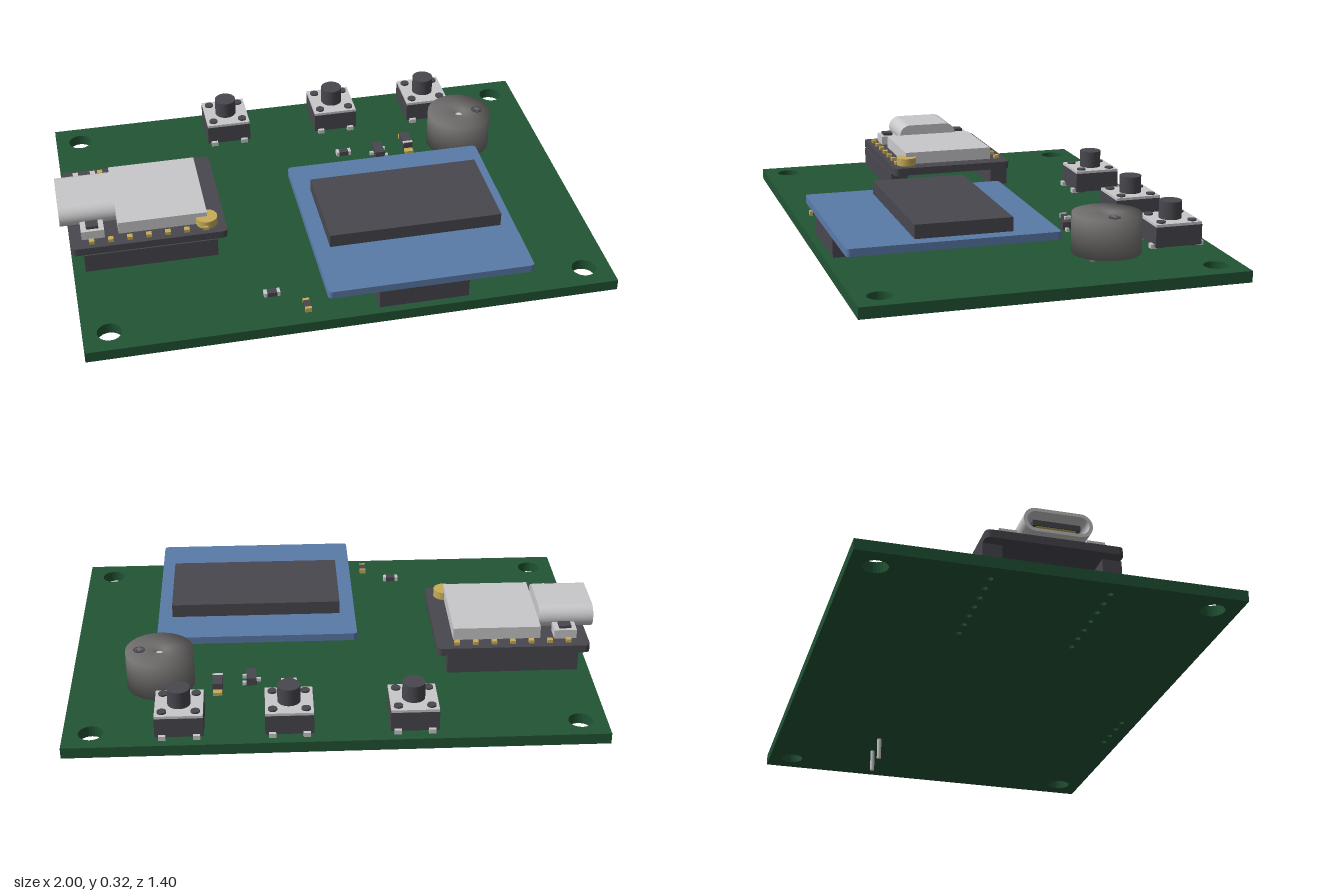
import * as THREE from 'three';

const mat = (name, color) => {
  const m = new THREE.MeshStandardMaterial({ color });
  m.name = name;
  return m;
};

export function createModel() {
  const green = mat('board green', 0x215434);
  const blue = mat('display blue', 0x5a7ba8);
  const dark = mat('dark plastic', 0x48474e);
  const metal = mat('light metal', 0xc8c8ca);
  const gold = mat('gold', 0xc8ac58);
  const grey = mat('buzzer grey', 0x737170);
  const model = new THREE.Group();
  model.name = 'circuitBoard';

  const add = (parent, name, geo, material, x = 0, y = 0, z = 0) => {
    const m = new THREE.Mesh(geo, material);
    m.name = name;
    m.position.set(x, y, z);
    parent.add(m);
    return m;
  };
  // Box and upright cylinder placed by centre in x and z, and by bottom and top in y
  const box = (p, name, material, x, z, w, d, y0, y1) =>
    add(p, name, new THREE.BoxGeometry(w, y1 - y0, d), material, x, (y0 + y1) / 2, z);
  const cyl = (p, name, material, x, z, r, y0, y1, n = 32) =>
    add(p, name, new THREE.CylinderGeometry(r, r, y1 - y0, n), material, x, (y0 + y1) / 2, z);
  const group = (name, x = 0, z = 0) => {
    const g = new THREE.Group();
    g.name = name;
    g.position.set(x, 0, z);
    model.add(g);
    return g;
  };
  const trace = (s, x0, y0, x1, y1, r) => {
    s.moveTo(x0 + r, y0).lineTo(x1 - r, y0);
    s.absarc(x1 - r, y0 + r, r, -Math.PI / 2, 0, false);
    s.lineTo(x1, y1 - r);
    s.absarc(x1 - r, y1 - r, r, 0, Math.PI / 2, false);
    s.lineTo(x0 + r, y1);
    s.absarc(x0 + r, y1 - r, r, Math.PI / 2, Math.PI, false);
    s.lineTo(x0, y0 + r);
    s.absarc(x0 + r, y0 + r, r, Math.PI, Math.PI * 1.5, false);
    return s;
  };
  const extrude = (shape, depth, curveSegments = 8) =>
    new THREE.ExtrudeGeometry(shape, { depth, bevelEnabled: false, curveSegments });
  // Flat plate outlined in x and z, extruded down from its top
  const plate = (p, name, material, shape, y0, y1, seg) =>
    add(p, name, extrude(shape, y1 - y0, seg).rotateX(Math.PI / 2), material, 0, y1, 0);

  const TOP = 0.129, PITCH = 0.0712;
  const pinX = i => -0.891 + i * PITCH;
  const switchXs = [-0.265, 0.185, 0.58];

  // Main board with mounting holes and small drilled holes
  const board = new THREE.Shape();
  board.moveTo(-0.97, -0.7).lineTo(1, -0.7).lineTo(1, 0.7).lineTo(-0.97, 0.7).closePath();
  const drill = (x, z, r) => {
    const h = new THREE.Path();
    h.absarc(x, z, r, 0, Math.PI * 2, true);
    board.holes.push(h);
  };
  for (const x of [-0.873, 0.9]) for (const z of [-0.606, 0.604]) drill(x, z, 0.045);
  for (const z of [-0.215, 0.215]) for (let i = 0; i < 7; i++) drill(pinX(i), z, 0.012);
  for (let i = 0; i < 4; i++) drill(0.16 + i * PITCH, 0.635, 0.012);
  plate(model, 'mainBoard', green, board, 0.087, TOP, 12);

  // Controller module on two header strips
  const mcu = group('controllerModule');
  plate(mcu, 'moduleBoard', dark, trace(new THREE.Shape(), -0.97, -0.25, -0.385, 0.245, 0.02), 0.204, 0.234);
  for (const s of [-1, 1]) {
    box(mcu, 'headerStrip', dark, -0.675, s * 0.215, 0.5, 0.07, TOP, 0.204);
    for (let i = 0; i < 7; i++) box(mcu, 'headerPin', gold, pinX(i), s * 0.215, 0.02, 0.02, 0.233, 0.247);
    box(mcu, 'miniButtonBase', metal, -0.883, s * 0.159, 0.086, 0.066, 0.234, 0.27);
    box(mcu, 'miniButtonCap', dark, -0.883, s * 0.159, 0.046, 0.038, 0.27, 0.281);
  }
  box(mcu, 'shieldCan', metal, -0.62, -0.002, 0.335, 0.364, 0.234, 0.283);
  cyl(mcu, 'antennaSocket', gold, -0.455, 0.178, 0.041, 0.234, 0.265, 20);

  // Hollow port with a back wall and contact tongue
  const shell = trace(new THREE.Shape(), -0.125, 0.234, 0.122, 0.324, 0.0445);
  shell.holes.push(trace(new THREE.Path(), -0.112, 0.246, 0.109, 0.312, 0.0325));
  add(mcu, 'portShell', extrude(shell, 0.21).rotateY(-Math.PI / 2), metal, -0.79);
  const wall = trace(new THREE.Shape(), -0.118, 0.24, 0.115, 0.318, 0.038);
  add(mcu, 'portBackWall', extrude(wall, 0.02).rotateY(-Math.PI / 2), metal, -0.791);
  box(mcu, 'portTongue', dark, -0.895, -0.002, 0.17, 0.17, 0.269, 0.289);
  for (const y of [0.2675, 0.2885]) box(mcu, 'portContacts', gold, -0.9, -0.002, 0.15, 0.145, y, y + 0.003);

  // Display module
  const display = group('displayModule');
  plate(display, 'displayBoard', blue, trace(new THREE.Shape(), -0.09, -0.11, 0.68, 0.67, 0.015), 0.202, 0.231);
  box(display, 'displayScreen', dark, 0.298, 0.235, 0.656, 0.36, 0.231, 0.283);
  box(display, 'displayHeader', dark, 0.267, 0.634, 0.335, 0.07, TOP, 0.202);

  // Push switches
  for (const x of switchXs) {
    const sw = group('pushSwitch', x, -0.565);
    box(sw, 'switchBody', dark, 0, 0, 0.176, 0.18, 0.136, 0.212);
    box(sw, 'switchCover', metal, 0, 0, 0.174, 0.178, 0.212, 0.222);
    cyl(sw, 'switchPlunger', dark, 0, 0, 0.042, 0.222, 0.288);
    for (const a of [-1, 1]) for (const b of [-1, 1]) {
      cyl(sw, 'switchRivet', dark, a * 0.06, b * 0.061, 0.017, 0.222, 0.228, 16);
      box(sw, 'switchLeg', metal, a * 0.062, b * 0.092, 0.026, 0.022, TOP, 0.146);
      cyl(sw, 'switchFoot', dark, a * 0.06, b * 0.061, 0.014, TOP, 0.136, 12);
    }
  }

  // Buzzer: round can with a sunken sound hole, feet and two long pins
  const buzzer = group('buzzer', 0.66, -0.285);
  const can = [[0, 0.139], [0.127, 0.139], [0.127, 0.283], [0.026, 0.283], [0.026, 0.25], [0, 0.25]];
  const canGeo = new THREE.LatheGeometry(can.map(p => new THREE.Vector2(...p)), 48);
  add(buzzer, 'buzzerCan', canGeo, grey);
  cyl(buzzer, 'buzzerCore', metal, 0, 0, 0.012, 0.25, 0.27, 16);
  cyl(buzzer, 'polarityMark', dark, 0.075, 0, 0.022, 0.283, 0.285, 20);
  for (const a of [-1, 1]) box(buzzer, 'polarityCross', grey, 0.075, 0, a > 0 ? 0.028 : 0.006, a > 0 ? 0.006 : 0.028, 0.284, 0.287);
  for (let i = 0; i < 4; i++) {
    const t = Math.PI * (0.25 + i / 2);
    cyl(buzzer, 'buzzerFoot', grey, Math.cos(t) * 0.1, Math.sin(t) * 0.1, 0.018, TOP, 0.139, 12);
  }
  for (const x of [-0.07, 0.07]) cyl(buzzer, 'buzzerPin', metal, x, 0, 0.009, 0, 0.139, 12);

  // Small two-ended surface parts
  const chip = (name, x, z, len, wid, h, ends, turned) => {
    const g = group(name, x, z);
    if (turned) g.rotation.y = Math.PI / 2;
    box(g, 'chipBody', dark, 0, 0, len * 0.6, wid, TOP, TOP + h);
    for (const s of [-1, 1]) box(g, 'chipEnd', ends, s * len * 0.4, 0, len * 0.2, wid, TOP, TOP + h);
  };
  chip('resistorBack', 0.18, -0.3, 0.06, 0.026, 0.018, metal, false);
  chip('resistorFront', -0.27, 0.519, 0.06, 0.026, 0.018, metal, false);
  chip('capacitor', -0.157, 0.613, 0.06, 0.024, 0.018, gold, true);

  // Diode with gold end tabs
  const diode = group('diode', 0.447, -0.31);
  box(diode, 'diodeBody', dark, 0, 0, 0.038, 0.08, 0.133, 0.166);
  box(diode, 'diodeBand', metal, 0, 0.03, 0.039, 0.012, 0.16, 0.167);
  for (const s of [-1, 1]) box(diode, 'diodeTab', gold, 0, s * 0.051, 0.034, 0.026, TOP, 0.142);

  // Three-legged transistor
  const transistor = group('transistor', 0.32, -0.273);
  box(transistor, 'transistorBody', dark, 0, 0, 0.038, 0.078, 0.133, 0.163);
  for (const [x, z] of [[0.026, -0.025], [0.026, 0.025], [-0.026, 0]])
    box(transistor, 'transistorLeg', metal, x, z, 0.018, 0.012, TOP, 0.142);

  return model;
}
